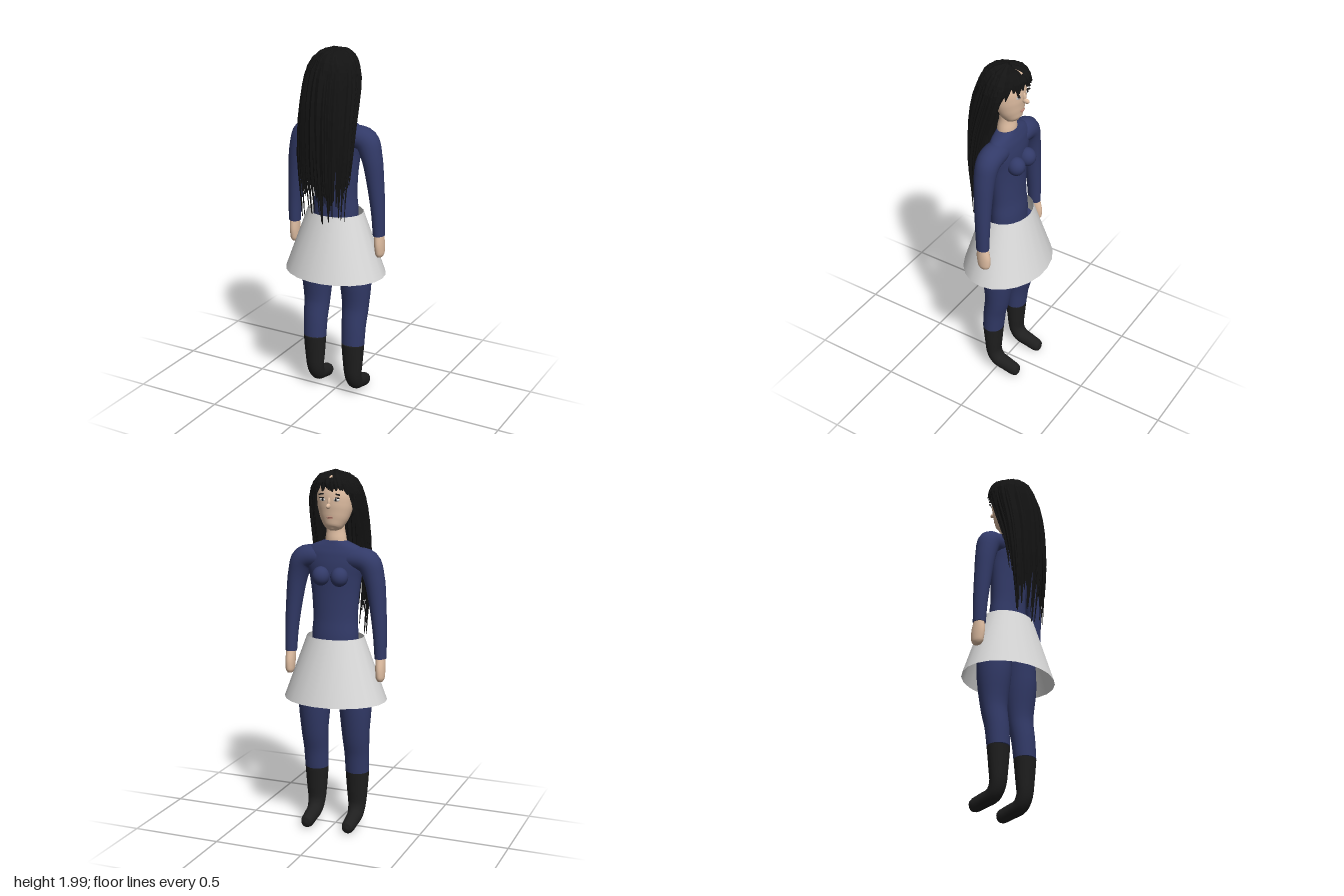
import * as THREE from 'three';
import { mergeGeometries } from 'three/addons/utils/BufferGeometryUtils.js';

const mat = (name, color, side = THREE.FrontSide) => {
  const m = new THREE.MeshStandardMaterial({ color, side });
  m.name = name;
  return m;
};

// Smooth elliptical sweep. Sections are [x, y, z, radius along side, radius across].
function loft(sections, side, radial = 20, steps = 4) {
  const centre = new THREE.CatmullRomCurve3(sections.map(s => new THREE.Vector3(s[0], s[1], s[2])));
  const radii = new THREE.CatmullRomCurve3(sections.map(s => new THREE.Vector3(s[3], s[4], 0)));
  const rows = (sections.length - 1) * steps;
  const pos = [], idx = [];
  for (let i = 0; i <= rows; i++) {
    const t = i / rows, c = centre.getPoint(t), r = radii.getPoint(t);
    const n = new THREE.Vector3().crossVectors(centre.getTangent(t), side).normalize();
    for (let j = 0; j < radial; j++) {
      const a = j / radial * Math.PI * 2;
      const p = c.clone().addScaledVector(side, Math.max(r.x, 0) * Math.cos(a))
        .addScaledVector(n, Math.max(r.y, 0) * Math.sin(a));
      pos.push(p.x, p.y, p.z);
      if (i < rows) {
        const k = (j + 1) % radial, A = i * radial + j, B = i * radial + k;
        idx.push(A, B, A + radial, B, B + radial, A + radial);
      }
    }
  }
  // end caps on their own vertices, so the rims stay crisp
  const first = pos.length / 3, last = first + radial;
  pos.push(...pos.slice(0, radial * 3), ...pos.slice(-radial * 3));
  for (let j = 1; j < radial - 1; j++) idx.push(first, first + j + 1, first + j, last, last + j, last + j + 1);
  const g = new THREE.BufferGeometry();
  g.setAttribute('position', new THREE.Float32BufferAttribute(pos, 3));
  g.setIndex(idx);
  g.computeVertexNormals();
  return g;
}

function makeRandom(seed) {
  return () => (seed = (seed * 16807) % 2147483647) / 2147483647;
}

// Hair envelope by height: [y, half width, centre z, depth]
const ENVELOPE = [
  [1.98, 0.008, 0.004, 0.008], [1.96, 0.064, 0.002, 0.074], [1.93, 0.094, 0.006, 0.1], [1.88, 0.12, 0.016, 0.118],
  [1.8, 0.131, 0.036, 0.122], [1.7, 0.136, 0.066, 0.112], [1.6, 0.139, 0.093, 0.092],
  [1.45, 0.139, 0.117, 0.07], [1.3, 0.128, 0.125, 0.055], [1.15, 0.115, 0.132, 0.03], [1.03, 0.11, 0.13, 0.02],
];
function envelope(y) {
  let i = 0;
  while (i < ENVELOPE.length - 2 && ENVELOPE[i + 1][0] > y) i++;
  const a = ENVELOPE[i], b = ENVELOPE[i + 1], t = (a[0] - y) / (a[0] - b[0]);
  return a.map((v, k) => v + (b[k] - v) * t);
}

// One tapering lock at angle phi (0 = back of the head) from top to end height
function lock(phi, top, end, width, lift, wobble) {
  const side = new THREE.Vector3(Math.cos(phi), 0, -Math.sin(phi));
  const n = end > 1.7 ? 5 : 10, sections = [];
  for (let i = 0; i <= n; i++) {
    const t = i / n, y = top + (end - top) * Math.pow(t, 1.35);
    const [, w, z, d] = envelope(y);
    const f = phi + wobble * t, out = lift * Math.min(1, t * 4);
    const k = Math.min(1, 0.45 + t * 3) * (1 - 0.88 * Math.pow(t, 3));
    sections.push([(w + out) * Math.sin(f), y + lift * 0.8 * (1 - t), z + (d + out) * Math.cos(f), width * k, 0.008 * k + 0.001]);
  }
  return loft(sections, side, 4, 1).toNonIndexed();
}

function hairGeometry() {
  const rnd = makeRandom(4271), parts = [];
  // long locks in three layers
  for (let layer = 0; layer < 3; layer++) {
    for (let i = 0; i < 36; i++) {
      const phi = (i / 35 * 2 - 1) * 1.9 + (rnd() - 0.5) * 0.1;
      const end = (Math.abs(phi) > 1.45 ? 1.2 : 1.05) + Math.pow(rnd(), 0.7) * 0.34;
      parts.push(lock(phi, 1.975 - rnd() * 0.03, end, 0.014 + rnd() * 0.01, (layer - 1) * 0.01 + rnd() * 0.01, (rnd() - 0.5) * 0.2));
    }
  }
  // short overlapping locks on the crown
  for (let i = 0; i < 60; i++) {
    const phi = (i / 59 * 2 - 1) * 1.85;
    parts.push(lock(phi, 1.98 - (i % 3) * 0.012, 1.7 + rnd() * 0.18, 0.024 + rnd() * 0.012, 0.004 + rnd() * 0.018, (rnd() - 0.5) * 0.35));
  }
  // fringe, kept low in the middle to leave the parting open
  for (let i = 0; i < 30; i++) {
    const u = i / 29 * 2 - 1, middle = Math.abs(u) < 0.28;
    const end = 1.9 - Math.pow(Math.abs(u), 3) * 0.1 + (rnd() - 0.5) * 0.02;
    parts.push(lock(Math.PI + u * 1.25, middle ? 1.95 : 1.976, end, 0.02, 0.004 + rnd() * 0.016, (rnd() - 0.5) * 0.3));
  }
  const g = mergeGeometries(parts);
  g.computeVertexNormals();
  return g;
}

export function createModel() {
  const model = new THREE.Group();
  const X = new THREE.Vector3(1, 0, 0), Z = new THREE.Vector3(0, 0, 1);
  const skin = mat('skin', 0xe2c0a4), navy = mat('navy cloth', 0x323a68);
  const white = mat('white skirt', 0xdadada, THREE.DoubleSide), boot = mat('black boots', 0x1f1f1f);
  const hair = mat('black hair', 0x131313, THREE.DoubleSide);
  const eyeWhite = mat('eye white', 0xe8e8e8), dark = mat('dark eye', 0x1c1a1a), lip = mat('lips', 0xb98474);

  const add = (name, geometry, material, x = 0, y = 0, z = 0) => {
    const m = new THREE.Mesh(geometry, material);
    m.name = name;
    m.position.set(x, y, z);
    model.add(m);
    return m;
  };
  const blob = (name, material, x, y, z, sx, sy, sz) =>
    add(name, new THREE.SphereGeometry(1, 20, 14), material, x, y, z).scale.set(sx, sy, sz);

  // torso, neck and head
  add('torso', loft([
    [0, 0.92, 0, 0.13, 0.09], [0, 1.1, -0.005, 0.132, 0.087], [0, 1.2, -0.002, 0.126, 0.08],
    [0, 1.33, 0, 0.134, 0.077], [0, 1.43, 0, 0.148, 0.077], [0, 1.51, 0, 0.172, 0.075],
    [0, 1.56, 0, 0.172, 0.067], [0, 1.597, 0.003, 0.13, 0.057], [0, 1.622, 0.005, 0.066, 0.05]], X, 32), navy);
  add('neck', loft([[0, 1.59, 0.008, 0.062, 0.05], [0, 1.64, 0.006, 0.057, 0.049],
    [0, 1.69, 0.003, 0.05, 0.042], [0, 1.76, 0, 0.05, 0.045]], X), skin);
  add('head', loft([
    [0, 1.682, -0.045, 0.015, 0.018], [0, 1.695, -0.038, 0.045, 0.042], [0, 1.74, -0.02, 0.076, 0.068],
    [0, 1.8, -0.005, 0.095, 0.088], [0, 1.86, 0, 0.1, 0.094], [0, 1.92, 0, 0.086, 0.086],
    [0, 1.955, -0.005, 0.056, 0.062], [0, 1.97, -0.01, 0.008, 0.008]], X, 28), skin);

  // face
  blob('nose', skin, 0, 1.815, -0.105, 0.011, 0.014, 0.021);
  blob('noseBridge', skin, 0, 1.836, -0.093, 0.008, 0.024, 0.012);
  blob('upperLip', lip, 0, 1.756, -0.086, 0.02, 0.004, 0.006);
  blob('lowerLip', lip, 0, 1.749, -0.084, 0.016, 0.004, 0.006);

  for (const s of [1, -1]) {
    const side = s > 0 ? 'left' : 'right';
    blob(side + 'Eye', eyeWhite, s * 0.038, 1.848, -0.085, 0.018, 0.009, 0.008);
    blob(side + 'Pupil', dark, s * 0.037, 1.848, -0.0905, 0.007, 0.007, 0.004);
    const lash = add(side + 'Lash', new THREE.BoxGeometry(0.038, 0.005, 0.009), dark, s * 0.039, 1.858, -0.087);
    lash.rotation.y = s * 0.4;
    const brow = add(side + 'Brow', new THREE.BoxGeometry(0.042, 0.007, 0.009), dark, s * 0.04, 1.877, -0.085);
    brow.rotation.set(0, s * 0.4, -s * 0.1);

    blob(side + 'Bust', navy, s * 0.053, 1.438, -0.082, 0.048, 0.052, 0.05);

    // arm and hand
    add(side + 'Arm', loft([
      [s * 0.05, 1.52, 0, 0.058, 0.056], [s * 0.12, 1.53, 0, 0.066, 0.062], [s * 0.185, 1.514, 0, 0.065, 0.066],
      [s * 0.219, 1.435, 0.003, 0.059, 0.057], [s * 0.241, 1.3, 0.001, 0.05, 0.047],
      [s * 0.258, 1.12, -0.004, 0.041, 0.037], [s * 0.263, 0.995, -0.006, 0.036, 0.032]], Z), navy);
    add(side + 'Hand', loft([
      [s * 0.263, 1.01, -0.006, 0.03, 0.026], [s * 0.265, 0.94, -0.012, 0.041, 0.026],
      [s * 0.266, 0.89, -0.015, 0.036, 0.023], [s * 0.266, 0.87, -0.015, 0.022, 0.014],
      [s * 0.266, 0.865, -0.015, 0.003, 0.003]], Z), skin);

    // leg and boot
    add(side + 'Leg', loft([
      [s * 0.1, 1.0, -0.005, 0.07, 0.085], [s * 0.112, 0.88, -0.01, 0.088, 0.097],
      [s * 0.12, 0.75, -0.01, 0.09, 0.095], [s * 0.122, 0.56, -0.008, 0.077, 0.07],
      [s * 0.122, 0.44, 0.012, 0.07, 0.062], [s * 0.122, 0.332, 0.022, 0.067, 0.058]], X), navy);
    add(side + 'Boot', loft([
      [s * 0.122, 0.332, 0.022, 0.067, 0.058], [s * 0.122, 0.22, 0.022, 0.059, 0.048],
      [s * 0.122, 0.13, 0.018, 0.05, 0.041], [s * 0.122, 0.08, -0.01, 0.044, 0.042],
      [s * 0.122, 0.06, -0.07, 0.039, 0.041], [s * 0.122, 0.046, -0.12, 0.036, 0.039],
      [s * 0.122, 0.044, -0.143, 0.028, 0.029], [s * 0.122, 0.044, -0.151, 0.002, 0.002]], X), boot);
  }

  // open flared skirt
  const skirt = add('skirt', new THREE.CylinderGeometry(0.16, 0.29, 0.352, 22, 1, true, Math.PI / 2), white, 0, 0.925, 0);
  skirt.scale.z = 0.803;

  // hair: cap behind the head and loose locks
  const cap = add('hairCap', new THREE.SphereGeometry(1, 24, 16, Math.PI * 0.98, Math.PI * 1.04), hair, 0, 1.84, 0.005);
  cap.scale.set(0.115, 0.134, 0.115);
  cap.rotation.y = Math.PI;
  add('hairLocks', hairGeometry(), hair);
  return model;
}
